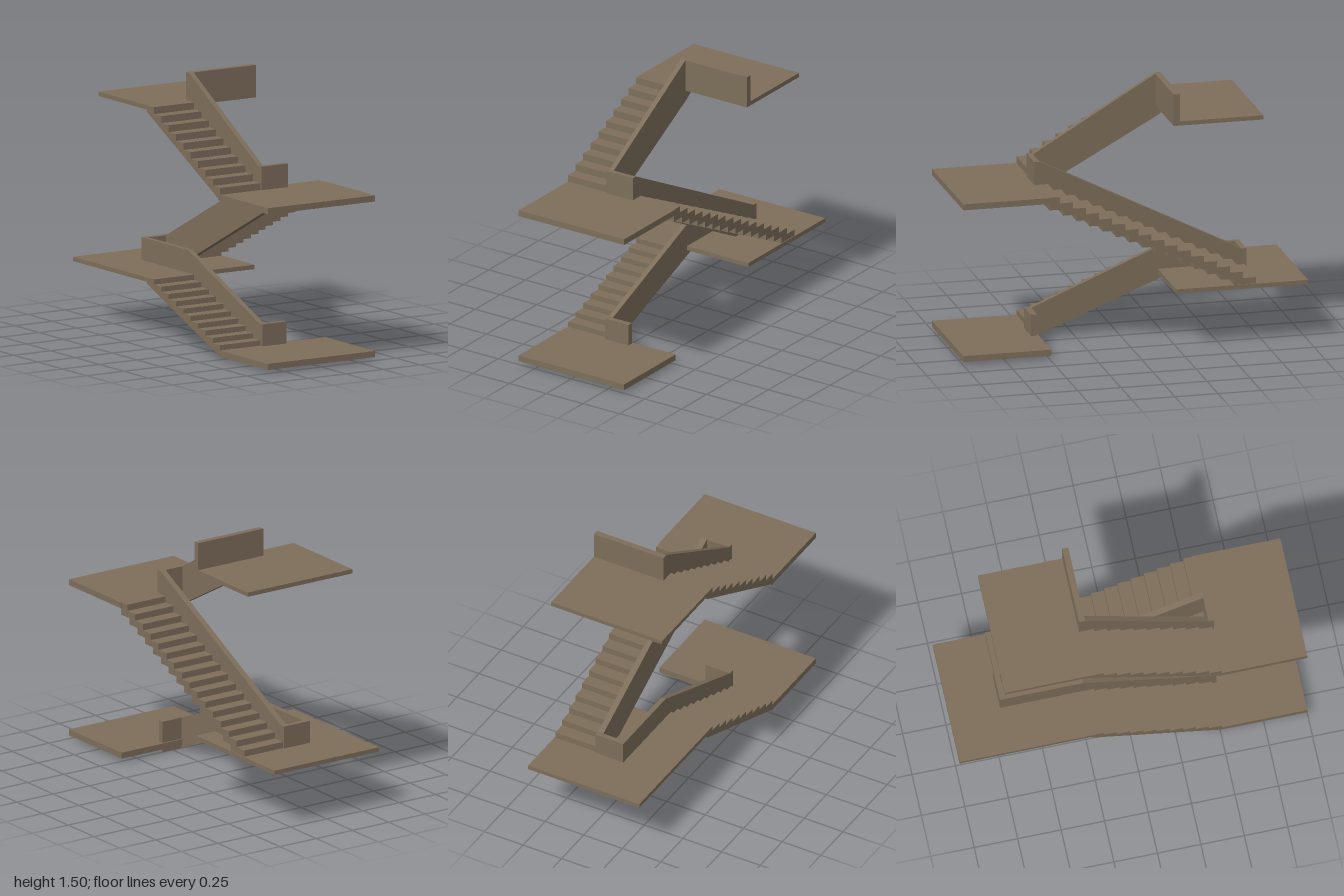
import * as THREE from 'three';

export function createModel() {
  const model = new THREE.Group();
  model.name = 'switchbackStaircase';
  const concrete = new THREE.MeshStandardMaterial({ color: 0x7d6e5a });
  concrete.name = 'brown concrete';

  // Side profile of [z, y] points, extruded from x0 to x1
  function prism(name, points, x0, x1) {
    const shape = new THREE.Shape(points.map(([z, y]) => new THREE.Vector2(z, y)));
    const geo = new THREE.ExtrudeGeometry(shape, { depth: x1 - x0, bevelEnabled: false });
    geo.rotateY(-Math.PI / 2);
    geo.translate(x1, 0, 0);
    const mesh = new THREE.Mesh(geo, concrete);
    mesh.name = name;
    model.add(mesh);
  }

  function block(name, x0, x1, y0, y1, z0, z1) {
    prism(name, [[z0, y0], [z1, y0], [z1, y1], [z0, y1]], x0, x1);
  }

  // Zigzag of n risers climbing towards the back
  function zigzag(z, y, run, rise, n) {
    const pts = [];
    for (let i = 0; i < n; i++) {
      pts.push([z - i * run, y + i * rise], [z - i * run, y + (i + 1) * rise]);
    }
    return pts;
  }

  // Landings
  block('groundLanding', -0.36, 0.36, 0.02, 0.055, 0.49, 1);
  block('lowerLanding', -0.36, 0.36, 0.33, 0.355, -1, -0.235);
  block('middleLanding', -0.36, 0.36, 0.91, 0.945, 0.49, 1);
  block('topLanding', -0.36, 0.36, 1.315, 1.34, -0.74, -0.22);

  // Flights with a smooth sloping underside
  const run = 0.0755;
  function solidFlight(name, yBottom, yTop, soffitBottom, soffitTop) {
    const steps = zigzag(0.51, yBottom, run, (yTop - yBottom) / 10, 10);
    prism(name, [...steps, [-0.24, yTop], [-0.24, soffitTop], [0.51, soffitBottom]], -0.36, -0.09);
  }
  solidFlight('lowerFlight', 0.055, 0.355, 0.02, 0.318);
  solidFlight('upperFlight', 0.945, 1.34, 0.91, 1.302);

  // Folded middle flight, stepped above and below, descending to the back
  const rise = 0.59 / 16;
  const top = [[0.5, 0.945]];
  const under = [[0.5, 0.871]];
  for (let i = 0; i < 16; i++) {
    const z = 0.44 - i * 0.076;
    const y = 0.945 - i * rise;
    top.push([z, y], [z, y - rise]);
    if (i < 14) under.push([z - 0.022, y - 0.074], [z - 0.022, y - rise - 0.074]);
  }
  prism('middleFlight', [...top, ...under.reverse()], 0.09, 0.355);

  // Parapets beside the flights
  prism('lowerParapet', [
    [0.535, 0.18], [0.5, 0.18], [-0.23, 0.485], [-0.71, 0.485], [-0.71, 0.33],
    [-0.32, 0.33], [0.5, 0.003], [0.535, 0.02],
  ], -0.09, -0.06);
  prism('middleParapet', [
    [0.52, 1.08], [0.49, 1.08], [-0.68, 0.485], [-0.71, 0.485], [-0.71, 0.33],
    [-0.55, 0.33], [0.49, 0.858], [0.52, 0.91],
  ], 0.055, 0.09);
  prism('upperParapet', [
    [0.52, 1.08], [0.49, 1.08], [-0.22, 1.5], [-0.255, 1.5], [-0.255, 1.34],
    [-0.32, 1.315], [-0.23, 1.255], [0.49, 0.858], [0.52, 0.91],
  ], -0.09, -0.06);

  // Short cross walls where parapets turn
  prism('groundReturn', [[0.535, 0.18], [0.5, 0.18], [0.5, 0], [0.535, 0.02]], -0.06, 0.07);
  block('lowerReturn', -0.06, 0.055, 0.355, 0.485, -0.71, -0.68);
  prism('middleReturn', [[0.52, 1.08], [0.49, 1.08], [0.49, 0.858], [0.52, 0.91]], -0.06, 0.055);
  block('topRailing', -0.06, 0.36, 1.34, 1.5, -0.255, -0.22);

  return model;
}
